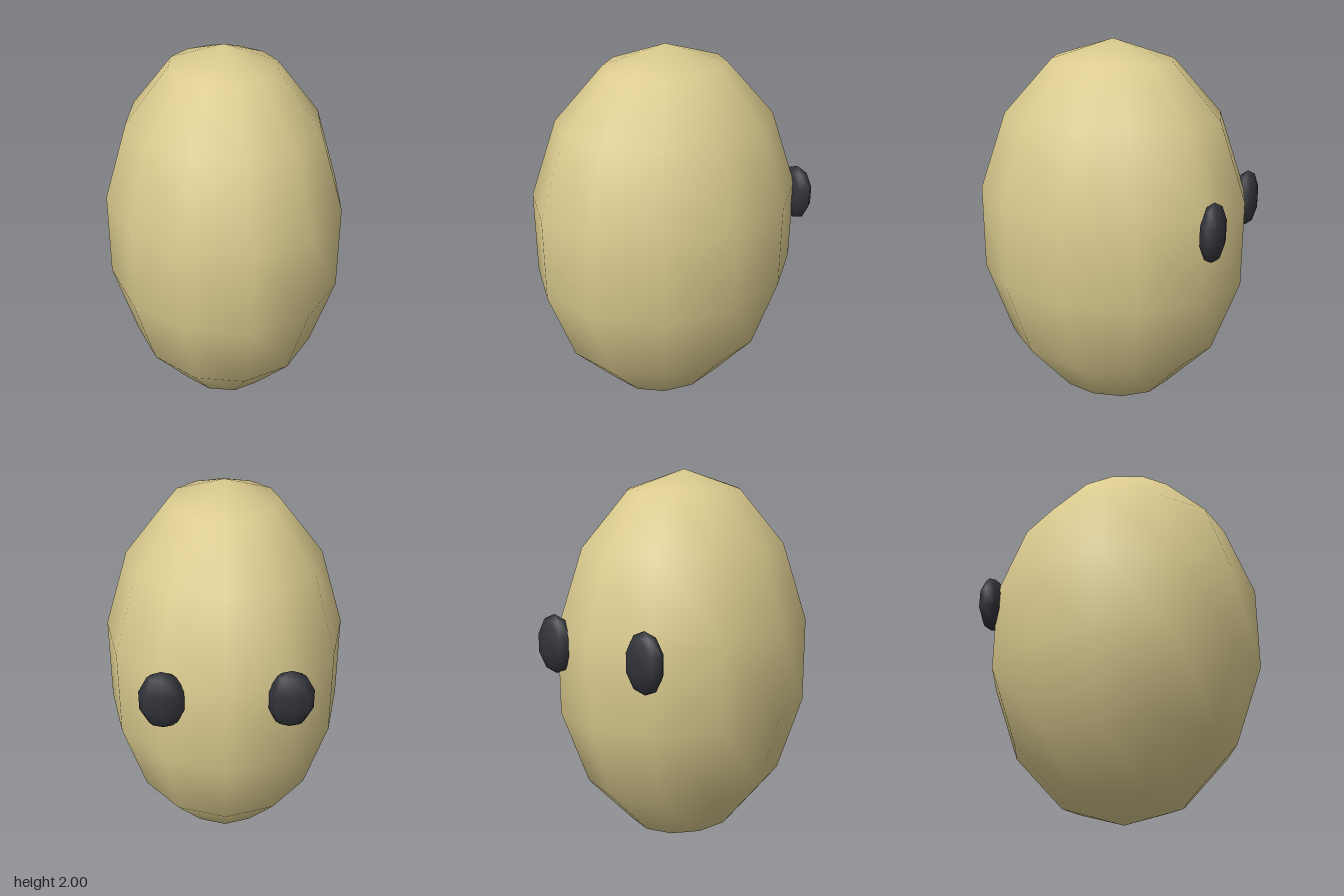
import * as THREE from 'three';

// Low-segment ellipsoid with smooth normals
function ellipsoid(name, color, [rx, ry, rz], columns, rows) {
  const geometry = new THREE.SphereGeometry(1, columns, rows);
  geometry.scale(rx, ry, rz);
  const mesh = new THREE.Mesh(geometry, new THREE.MeshStandardMaterial({ color }));
  mesh.name = name;
  return mesh;
}

export function createModel() {
  const group = new THREE.Group();
  group.name = 'eggHead';

  // Egg-shaped body standing on its pole
  const body = ellipsoid('body', 0xdaca8e, [0.636, 1, 0.743], 12, 7);
  body.position.y = 1;
  group.add(body);

  // Mirrored pair of dark oval eyes, half sunk into the back
  for (const side of [1, -1]) {
    const eye = ellipsoid(side > 0 ? 'leftEye' : 'rightEye', 0x32333a, [0.115, 0.153, 0.063], 8, 5);
    eye.position.set(side * 0.3, 1.153, -0.655);
    group.add(eye);
  }

  return group;
}
